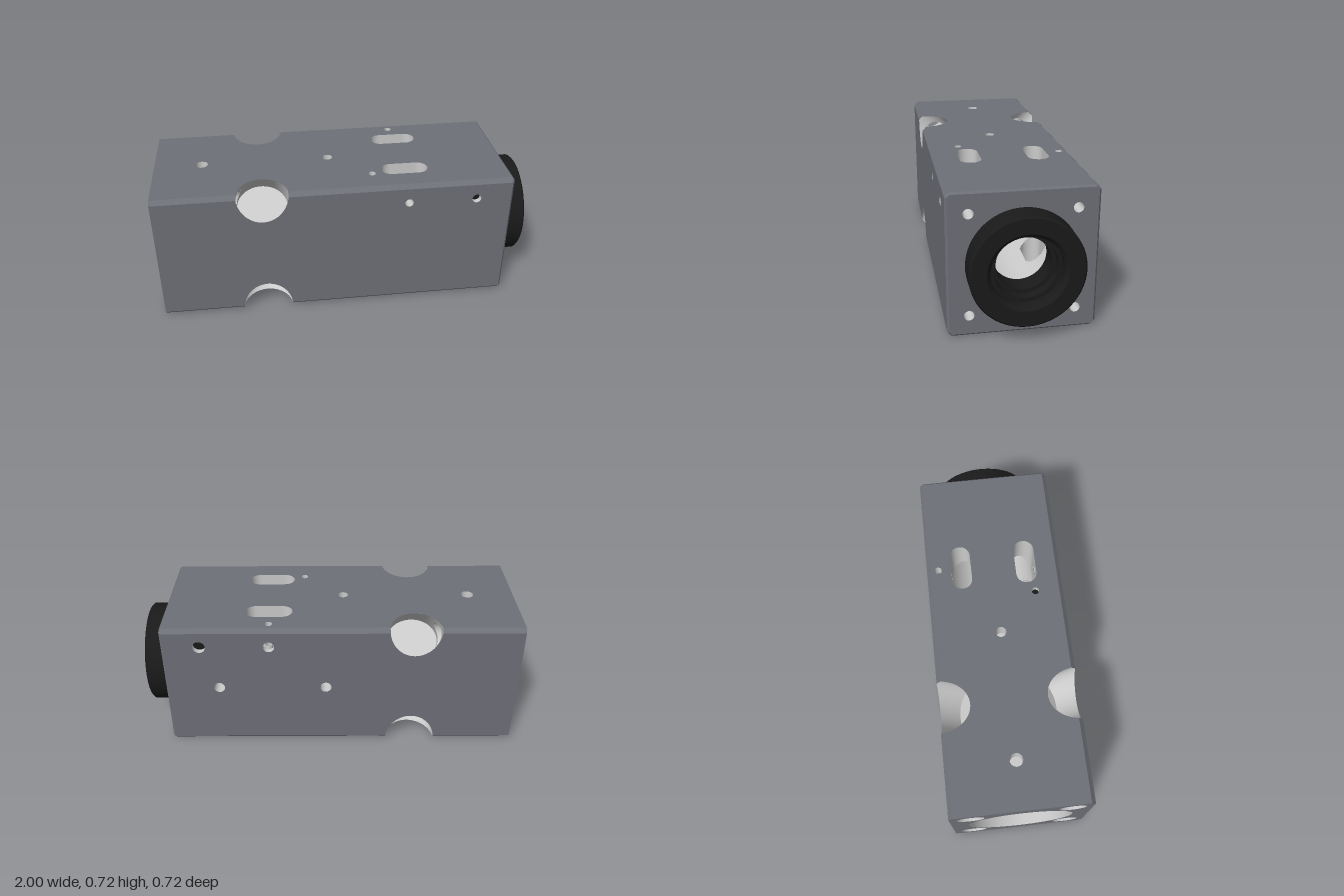
import * as THREE from 'three';
import { toCreasedNormals } from 'three/addons/utils/BufferGeometryUtils.js';

const H = 0.361, C = 0.022, E = 0.01;      // half height, edge chamfer, end chamfer
const X0 = -1, X1 = 0.877;                 // body ends
const NX = -0.44, NA = 0.135, NB = 0.162;  // corner notch: centre, half length, reach on a face
const ND = 0.255, NS = NB / Math.SQRT2;    // notch depth along the diagonal, half width across it
const BOLT = 0.256, BOLT_R = 0.07, BORE = 0.25, MOUTH = 0.276;

const mat = (color) => new THREE.MeshStandardMaterial({ color, side: THREE.DoubleSide });
const body = mat(0x6e7078), light = mat(0xcccccc), black = mat(0x1a1a1a);

export function createModel() {
  const model = new THREE.Group();
  model.position.y = H;

  const add = (parent, name, geometry, material) => {
    const mesh = new THREE.Mesh(geometry, material);
    mesh.name = name;
    parent.add(mesh);
    return mesh;
  };

  // Closed band: f(column, t) gives a point; cells whose middle passes skip() are left open
  const band = (cols, rows, f, skip = () => false) => {
    const pos = [], index = [];
    for (let j = 0; j <= rows; j++)
      for (let i = 0; i < cols; i++) pos.push(...f(i, j / rows));
    for (let j = 0; j < rows; j++)
      for (let i = 0; i < cols; i++) {
        const mid = f(i, (j + 0.5) / rows), next = f((i + 1) % cols, (j + 0.5) / rows);
        if (skip(...mid.map((m, k) => (m + next[k]) / 2))) continue;
        const n = (i + 1) % cols, a = j * cols + i, b = j * cols + n;
        index.push(a, b, a + cols, b, b + cols, a + cols);
      }
    const g = new THREE.BufferGeometry();
    g.setAttribute('position', new THREE.Float32BufferAttribute(pos, 3));
    g.setIndex(index);
    g.computeVertexNormals();
    return g;
  };

  // Round or slotted outline in face coordinates
  const outline = ({ x, v, r, half = 0 }) => {
    const pts = [];
    for (const s of [1, -1]) {
      for (let i = 0; i <= 16; i++) {
        const a = -Math.PI / 2 + (i / 16) * Math.PI;
        pts.push(new THREE.Vector2(x + s * (half + r * Math.cos(a)), v + s * r * Math.sin(a)));
      }
      for (let i = 1; half && i < 20; i++)
        pts.push(new THREE.Vector2(x + s * half * (1 - i / 10), v + s * r));
    }
    return pts;
  };
  const circle = (x, v, r) => new THREE.Path().absarc(x, v, r, 0, Math.PI * 2, true);

  // Holes of the four long faces: top, front, bottom, back
  const slots = [-0.175, 0.175].map((v) => ({ x: 0.325, v, r: 0.055, half: 0.07, slot: true }));
  const blind = (x, v, r) => ({ x, v, r, depth: 0.09, floor: light });
  const plug = (x, v, r) => ({ x, v, r, depth: 0.03, floor: black });
  const faces = [
    ['top', [...slots, { x: 0.32, v: 0.3, r: 0.02, depth: 0.07 },
      blind(-0.75, 0, 0.034), blind(-0.07, 0, 0.028), plug(0.145, -0.21, 0.02)]],
    ['front', [{ x: 0.32, v: 0.257, r: 0.022, depth: 0.13 }, plug(0.68, 0.257, 0.024)]],
    ['bottom', [...slots, { x: 0.32, v: -0.3, r: 0.02, depth: 0.6 },
      blind(-0.07, 0, 0.028), plug(0.145, 0.21, 0.02)]],
    ['back', [{ x: 0.32, v: -0.257, r: 0.03, depth: 0.03 }, blind(0.593, 0, 0.03),
      blind(0.025, 0, 0.03), plug(0.68, -0.257, 0.033)]],
  ];

  faces.forEach(([name, holes], k) => {
    const side = new THREE.Group();
    side.name = name + 'Side';
    side.rotation.x = k * Math.PI / 2;
    model.add(side);

    // Panel with a bite out of both long edges
    const w = H - C, t0 = Math.asin(C / NB), bite = [];
    for (let i = 0; i <= 40; i++) {
      const t = t0 + (i / 40) * (Math.PI - 2 * t0);
      bite.push([NX + NA * Math.cos(t), H - NB * Math.sin(t)]);
    }
    const pts = [[X0, -w], ...bite.map(([x, v]) => [x, -v]).reverse(), [X1 - E, -w],
      [X1 - E, w], ...bite, [X0, w]];
    const shape = new THREE.Shape(pts.map((p) => new THREE.Vector2(...p)));
    holes.forEach((h) => shape.holes.push(new THREE.Path(outline(h))));
    add(side, name + 'Panel', new THREE.ShapeGeometry(shape).rotateX(-Math.PI / 2).translate(0, H, 0), body);

    // Hole walls and floors; slots run through to the bore
    holes.forEach((h) => {
      const o = outline(h);
      const end = (p) => h.slot ? Math.sqrt(Math.max(0, BORE ** 2 - p.y ** 2)) : H - h.depth;
      const crossed = (x, y) => h.slot && k === 0 && Math.abs(x - 0.32) < 0.026 && Math.abs(y - 0.257) < 0.026;
      add(side, h.slot ? 'slotWall' : 'holeWall', band(o.length, h.slot ? 16 : 1,
        (i, t) => [o[i].x, H + (end(o[i]) - H) * t, -o[i].y], crossed), light);
      if (h.floor) add(side, 'holeFloor', new THREE.CircleGeometry(h.r, 32)
        .rotateX(-Math.PI / 2).translate(h.x, H - h.depth, -h.v), h.floor);
    });

    // Chamfered long edge on either side of the notch
    const half = NA * Math.cos(t0);
    for (const [a, b] of [[X0, NX - half], [NX + half, X1 - E]])
      add(side, 'edgeChamfer', new THREE.PlaneGeometry(b - a, C * Math.SQRT2)
        .rotateX(-Math.PI / 4).translate((a + b) / 2, H - C / 2, H - C / 2), body);

    // Corner notch: elliptical pocket along the diagonal, open to the bolt hole
    const at = (x, s, d) => [x, H - (d + s) / Math.SQRT2, H - (d - s) / Math.SQRT2];
    const rim = (i) => [NX + NA * Math.cos(i * Math.PI / 64), NS * Math.sin(i * Math.PI / 64)];
    add(side, 'notchWall', band(128, 48, (i, t) => {
      const [x, s] = rim(i), d = Math.max(Math.abs(s), C / Math.SQRT2);
      return at(x, s, d + (ND - d) * t);
    }, (x, y, z) => x < NX && Math.hypot(y - BOLT, z - BOLT) < BOLT_R), light);
    add(side, 'notchFloor', band(128, 1, (i, t) => {
      const [x, s] = rim(i);
      return at(NX + (x - NX) * t, s * t, ND);
    }), light);

    // Bolt hole from the back end into the notch, and blind screw hole in the other end
    add(side, 'boltHole', band(48, 1, (i, t) => {
      const a = i * Math.PI / 24, y = BOLT + BOLT_R * Math.cos(a), z = BOLT + BOLT_R * Math.sin(a);
      const s = (z - y) / Math.SQRT2, stop = NX - NA * Math.sqrt(1 - (s / NS) ** 2);
      return [X0 + (stop - X0) * t, y, z];
    }), light);
    add(side, 'screwHole', new THREE.CylinderGeometry(0.025, 0.025, 0.2, 32, 1, true)
      .rotateZ(Math.PI / 2).translate(X1 - 0.1, BOLT, BOLT), light);
    add(side, 'screwHoleFloor', new THREE.CircleGeometry(0.025, 32)
      .rotateY(Math.PI / 2).translate(X1 - 0.2, BOLT, BOLT), light);
  });

  // End plates with bore and corner holes
  const octagon = (h) => {
    const w = H - C;
    return [[h, w], [w, h], [-w, h], [-h, w], [-h, -w], [-w, -h], [w, -h], [h, -w]];
  };
  const endPlate = (name, x, h, bore, r, turn) => {
    const shape = new THREE.Shape(octagon(h).map((p) => new THREE.Vector2(...p)));
    shape.holes.push(new THREE.Path().absarc(0, 0, bore, 0, Math.PI * 2, true));
    for (const a of [-BOLT, BOLT]) for (const b of [-BOLT, BOLT]) shape.holes.push(circle(a, b, r));
    add(model, name, new THREE.ShapeGeometry(shape, 48).rotateY(turn).translate(x, 0, 0), body);
  };
  endPlate('openEndPlate', X0, H, MOUTH, BOLT_R, -Math.PI / 2);
  endPlate('ringEndPlate', X1, H - E, 0.2, 0.025, Math.PI / 2);
  const rimOut = octagon(H), rimIn = octagon(H - E);
  add(model, 'endChamfer', toCreasedNormals(band(8, 1, (i, t) => {
    const p = t ? rimIn[i] : rimOut[i];
    return [X1 - E + E * t, p[1], p[0]];
  }), 0.2), body);

  // Bore with a wider mouth, opened where the slots pass through
  const inSlot = (x, y, z) => {
    const dx = Math.max(0, Math.abs(x - 0.325) - 0.07);
    return Math.hypot(dx, Math.abs(z) - 0.175) < 0.056;
  };
  const ring = (i, r, n) => [r * Math.cos(i * 2 * Math.PI / n), r * Math.sin(i * 2 * Math.PI / n)];
  const tube = (name, xa, xb, ra, rb, n = 96, rows = 1, skip) =>
    add(model, name, band(n, rows, (i, t) => [xa + (xb - xa) * t, ...ring(i, ra + (rb - ra) * t, n)], skip), light);
  tube('boreMouth', X0, -0.9, MOUTH, MOUTH);
  tube('boreStep', -0.9, -0.9, MOUTH, BORE);
  tube('boreBack', -0.9, 0.19, BORE, BORE);
  tube('boreSlotted', 0.19, 0.46, BORE, BORE, 192, 54, inSlot);
  tube('boreFront', 0.46, 0.78, BORE, BORE);

  // Black mounting ring with a stepped opening
  const profile = [[0.25, 0.78], [0.25, X1], [0.273, X1], [0.273, 0.992], [0.265, 1], [0.19, 1], [0.172, 0.982],
    [0.172, 0.94], [0.152, 0.94], [0.152, 0.89], [0.133, 0.89], [0.133, 0.78], [0.25, 0.78]];
  const lathe = new THREE.LatheGeometry(profile.map((p) => new THREE.Vector2(...p)), 96);
  add(model, 'mountingRing', toCreasedNormals(lathe.rotateZ(-Math.PI / 2), 0.5), black);

  const group = new THREE.Group();
  group.name = 'housing';
  group.add(model);
  return group;
}
